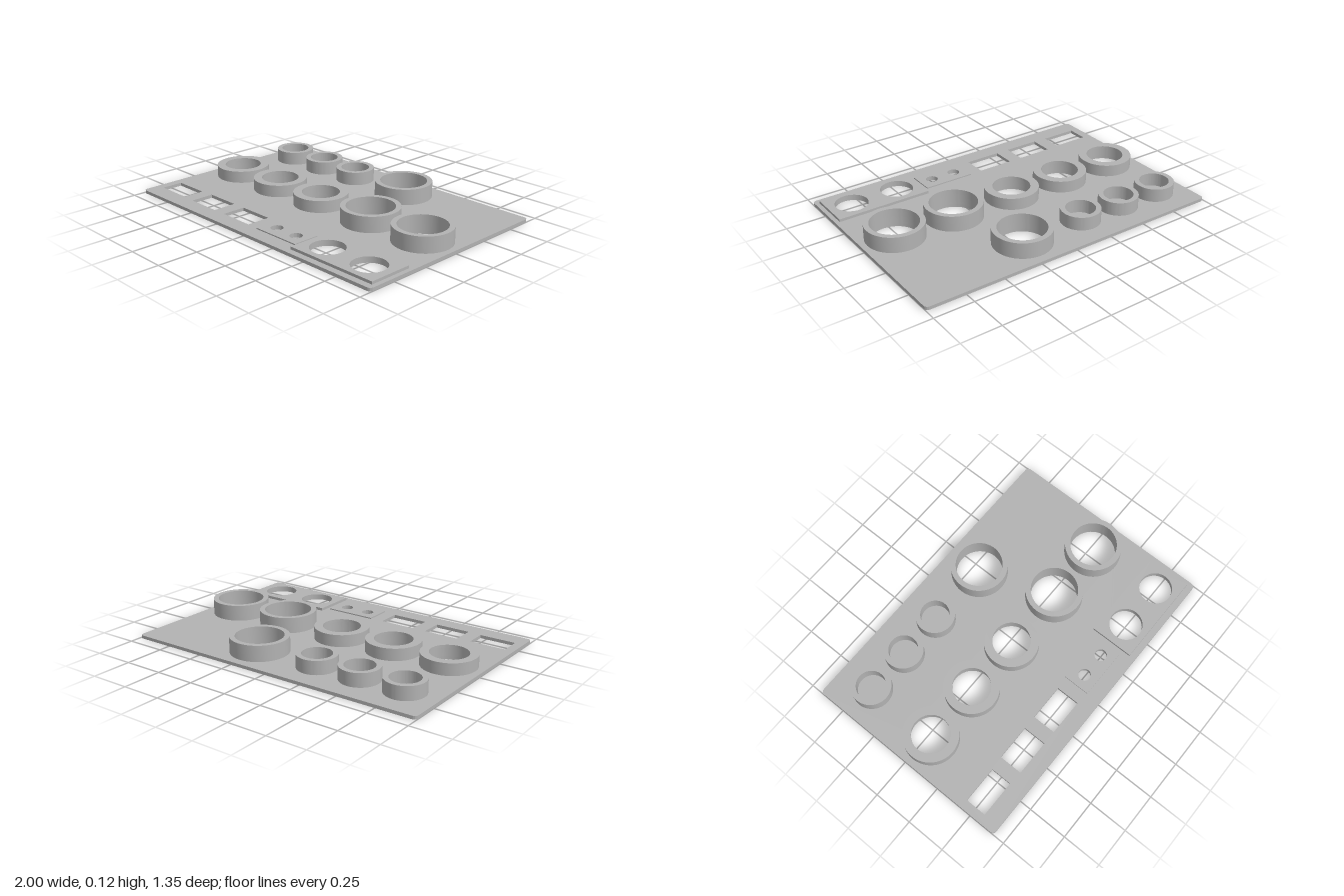
import * as THREE from 'three';
import { toCreasedNormals } from 'three/addons/utils/BufferGeometryUtils.js';

const SEGMENTS = 40;
const BASE = 0.02; // top of the base plate

const circle = (Type, x, z, r) => new Type().absarc(x, -z, r, 0, Math.PI * 2, false);

// Rectangle with optional rounded corners, given by its x and z limits
function rect(Type, x0, x1, z0, z1, r = 0) {
  const p = new Type();
  if (!r) {
    return p.moveTo(x0, -z1).lineTo(x1, -z1).lineTo(x1, -z0).lineTo(x0, -z0).closePath();
  }
  p.absarc(x1 - r, -z1 + r, r, -Math.PI / 2, 0, false);
  p.absarc(x1 - r, -z0 - r, r, 0, Math.PI / 2, false);
  p.absarc(x0 + r, -z0 - r, r, Math.PI / 2, Math.PI, false);
  p.absarc(x0 + r, -z1 + r, r, Math.PI, Math.PI * 1.5, false);
  return p.closePath();
}

export function createModel() {
  const group = new THREE.Group();
  const grey = new THREE.MeshStandardMaterial({ color: 0xb2b2b2 });
  grey.name = 'grey';

  // Upright slab from a plan outline, between two heights
  function slab(name, shape, holes, y0, y1) {
    shape.holes.push(...holes);
    const geo = new THREE.ExtrudeGeometry(shape, {
      depth: y1 - y0, bevelEnabled: false, curveSegments: SEGMENTS,
    });
    geo.rotateX(-Math.PI / 2).translate(0, y0, 0);
    const mesh = new THREE.Mesh(toCreasedNormals(geo, 0.5), grey);
    mesh.name = name;
    group.add(mesh);
  }
  const ring = (name, x, z, outer, inner, y0, y1) =>
    slab(name, circle(THREE.Shape, x, z, outer), [circle(THREE.Path, x, z, inner)], y0, y1);

  const cups = [-0.79, -0.497, -0.203];
  const lippedRings = [-0.79, -0.414, -0.037];
  const wideRings = [[0.222, -0.444], [0.385, 0.027], [0.784, 0.027]];
  const smallHoles = [0.091, 0.254];
  const largeHoles = [0.511, 0.823];
  const windows = [
    [-0.944, -0.711, 0.43, 0.565],
    [-0.623, -0.396, 0.422, 0.572],
    [-0.307, -0.075, 0.422, 0.572],
  ];
  const frontZ = 0.497;
  const smallCuts = () => smallHoles.map((x) => circle(THREE.Path, x, frontZ, 0.038));
  const largeCuts = () => largeHoles.map((x) => circle(THREE.Path, x, frontZ, 0.103));

  // Base plate with all through openings
  slab('basePlate', rect(THREE.Shape, -1, 1, -0.676, 0.676, 0.025), [
    ...lippedRings.map((x) => circle(THREE.Path, x, 0.027, 0.13)),
    ...wideRings.map(([x, z]) => circle(THREE.Path, x, z, 0.147)),
    ...windows.map((w) => rect(THREE.Path, ...w)),
    ...smallCuts(),
    ...largeCuts(),
  ], 0, BASE);

  // Small cups, closed by the base plate
  cups.forEach((x) => ring('smallCup', x, -0.444, 0.123, 0.091, BASE, 0.105));

  // Medium rings with a narrower lip at the top
  lippedRings.forEach((x) => {
    ring('mediumRing', x, 0.027, 0.17, 0.13, BASE, 0.08);
    ring('mediumRingLip', x, 0.027, 0.17, 0.117, 0.08, 0.096);
  });

  // Wide thin-walled rings
  wideRings.forEach(([x, z]) => ring('wideRing', x, z, 0.18, 0.147, BASE, 0.12));

  // Raised pads around the front holes
  slab('smallPad', rect(THREE.Shape, 0.008, 0.338, 0.412, 0.582), smallCuts(), BASE, 0.027);
  slab('largePad', rect(THREE.Shape, 0.363, 0.973, 0.358, 0.636), largeCuts(), BASE, 0.037);

  return group;
}
